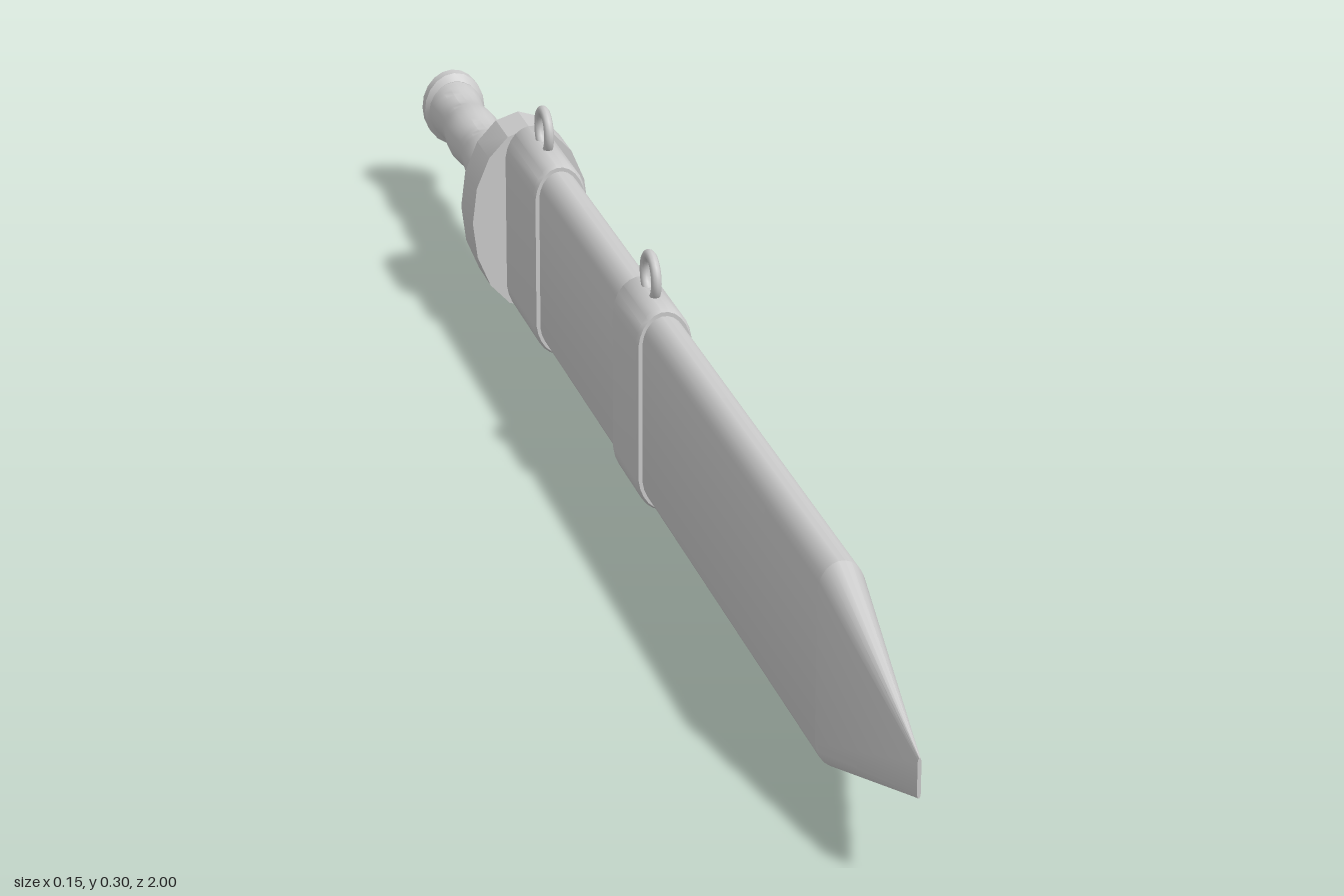
import * as THREE from 'three';
import { toCreasedNormals } from 'three/addons/utils/BufferGeometryUtils.js';

const MID = 0.125; // height of the long axis
const grey = new THREE.MeshStandardMaterial({ color: 0xcccccc });

// Closed skin through cross-sections along z: [z, halfWidth, halfHeight, roundedEndHeight].
// A full ellipse results where roundedEndHeight equals halfHeight.
function loft(name, sections, sides, crease = 0.6) {
  const pos = [];
  const index = [];
  sections.forEach(([z, hx, hy, end = hy]) => {
    const straight = hy - end;
    for (let j = 0; j < sides; j++) {
      const a = ((j + (straight > 0 ? 0.5 : 0)) / sides) * Math.PI * 2;
      const s = Math.sin(a);
      pos.push(hx * Math.cos(a), MID + s * end + Math.sign(s) * straight, z);
    }
  });
  const last = sections.length - 1;
  for (let i = 0; i < last; i++) {
    for (let j = 0; j < sides; j++) {
      const k = (j + 1) % sides;
      const a = i * sides + j, b = i * sides + k;
      index.push(a, b, a + sides, b, b + sides, a + sides);
    }
  }
  // flat caps at both ends
  const c0 = pos.length / 3;
  pos.push(0, MID, sections[0][0], 0, MID, sections[last][0]);
  for (let j = 0; j < sides; j++) {
    const k = (j + 1) % sides;
    index.push(c0, k, j, c0 + 1, last * sides + j, last * sides + k);
  }
  const geo = new THREE.BufferGeometry();
  geo.setAttribute('position', new THREE.Float32BufferAttribute(pos, 3));
  geo.setIndex(index);
  const mesh = new THREE.Mesh(toCreasedNormals(geo, crease), grey);
  mesh.name = name;
  return mesh;
}

export function createModel() {
  const sword = new THREE.Group();
  sword.name = 'sheathedSword';

  // Scabbard body and its wedge-shaped tip
  sword.add(loft('scabbard', [
    [-0.58, 0.026, 0.116, 0.035],
    [0.74, 0.026, 0.116, 0.035],
  ], 24));
  sword.add(loft('scabbardTip', [
    [0.74, 0.026, 0.116, 0.035],
    [1.0, 0.002, 0.022, 0.006],
  ], 24));

  // Two bands, each with a carrying ring on top
  [[-0.048, 0.064, 0.003], [-0.568, -0.417, -0.495]].forEach(([z0, z1, ringZ]) => {
    sword.add(loft('scabbardBand', [
      [z0, 0.031, 0.121, 0.045],
      [z0 + 0.006, 0.033, 0.124, 0.045],
      [z1 - 0.006, 0.033, 0.124, 0.045],
      [z1, 0.031, 0.121, 0.045],
    ], 24));
    const ring = new THREE.Mesh(new THREE.TorusGeometry(0.025, 0.006, 10, 28), grey);
    ring.name = 'carryingRing';
    ring.rotation.y = Math.PI / 2;
    ring.position.set(0, 0.266, ringZ);
    sword.add(ring);
  });

  // Oval guard with a bevelled rear face
  sword.add(loft('guard', [
    [-0.646, 0.052, 0.092],
    [-0.634, 0.073, 0.113],
    [-0.63, 0.074, 0.119],
    [-0.567, 0.074, 0.119],
  ], 16, 0.5));

  // Grip with finger swells, flaring towards the guard
  const grip = [];
  for (let i = 0; i <= 36; i++) {
    const t = i / 36;
    const flare = 0.009 * Math.max(0, (t - 0.6) / 0.4);
    const swell = t < 0.72 ? 0.0025 * Math.cos(t * Math.PI * 2 * 3.2) : 0;
    const r = 0.037 + flare + swell;
    grip.push([-0.98 + t * 0.34, r * 0.9, r]);
  }
  sword.add(loft('grip', grip, 20));

  // Pommel disc
  sword.add(loft('pommel', [
    [-1.0, 0.04, 0.049],
    [-0.985, 0.04, 0.049],
    [-0.978, 0.035, 0.04],
  ], 20));

  return sword;
}
